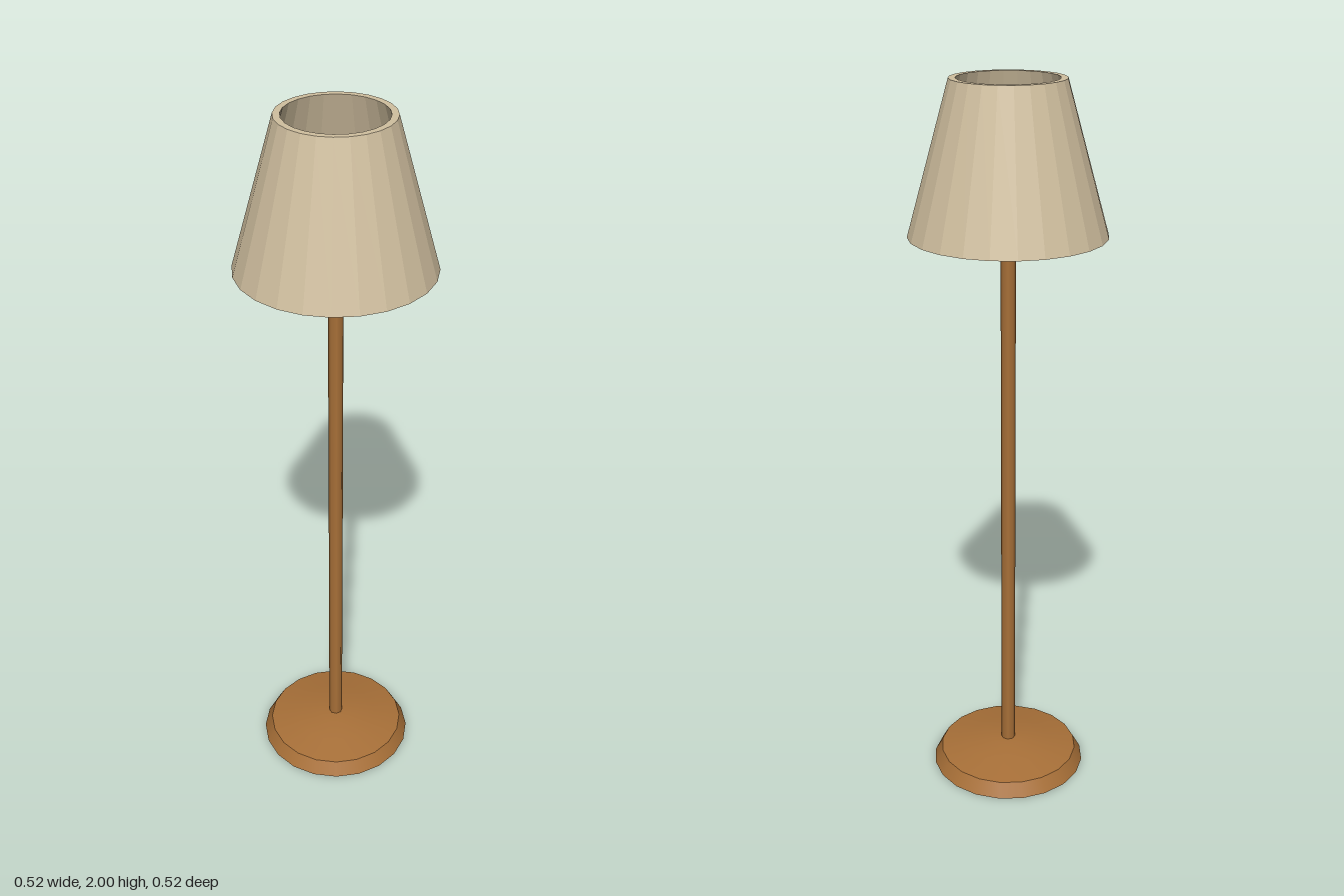
import * as THREE from 'three';

const material = (name, color) => {
  const m = new THREE.MeshStandardMaterial({ color });
  m.name = name;
  return m;
};

export function createModel() {
  const wood = material('wood', 0xa87038);
  const fabric = material('shade fabric', 0xd1c0a0);
  const glow = material('warm glow', 0xe6c878);

  const lamp = new THREE.Group();
  lamp.name = 'floorLamp';
  const add = (name, geometry, mat, y = 0) => {
    const mesh = new THREE.Mesh(geometry, mat);
    mesh.name = name;
    mesh.position.y = y;
    lamp.add(mesh);
    return mesh;
  };
  const lathe = (points, sides) =>
    new THREE.LatheGeometry(points.map(([r, y]) => new THREE.Vector2(r, y)), sides);
  const disc = (radius, sides, up) =>
    new THREE.CircleGeometry(radius, sides).rotateX(up ? -Math.PI / 2 : Math.PI / 2);

  // Base: bevelled foot with a shallow domed top
  add('baseUnderside', disc(0.222, 20, false), wood);
  add('baseRim', lathe([[0.222, 0], [0.2, 0.04]], 20), wood);
  add('baseTop', lathe([[0.2, 0.04], [0.12, 0.054], [0.05, 0.065], [0, 0.066]], 20), wood);

  // Pole, running up through the bulb
  const pole = add('pole', new THREE.CylinderGeometry(0.02, 0.02, 1.74, 8), wood, 0.92);
  pole.rotation.y = Math.PI / 8;

  // Bulb
  add('bulb', new THREE.SphereGeometry(0.075, 10, 8), glow, 1.71);

  // Shade: faceted hollow cone with a thick rim
  const shade = lathe(
    [[0.262, 1.602], [0.15, 2], [0.132, 2], [0.244, 1.602]], 24
  ).toNonIndexed();
  shade.computeVertexNormals();
  add('shade', shade, fabric);

  // Diffuser closing the bottom of the shade
  add('shadeFloor', disc(0.25, 24, true), fabric, 1.604);
  add('diffuser', disc(0.262, 24, false), glow, 1.602);

  return lamp;
}
